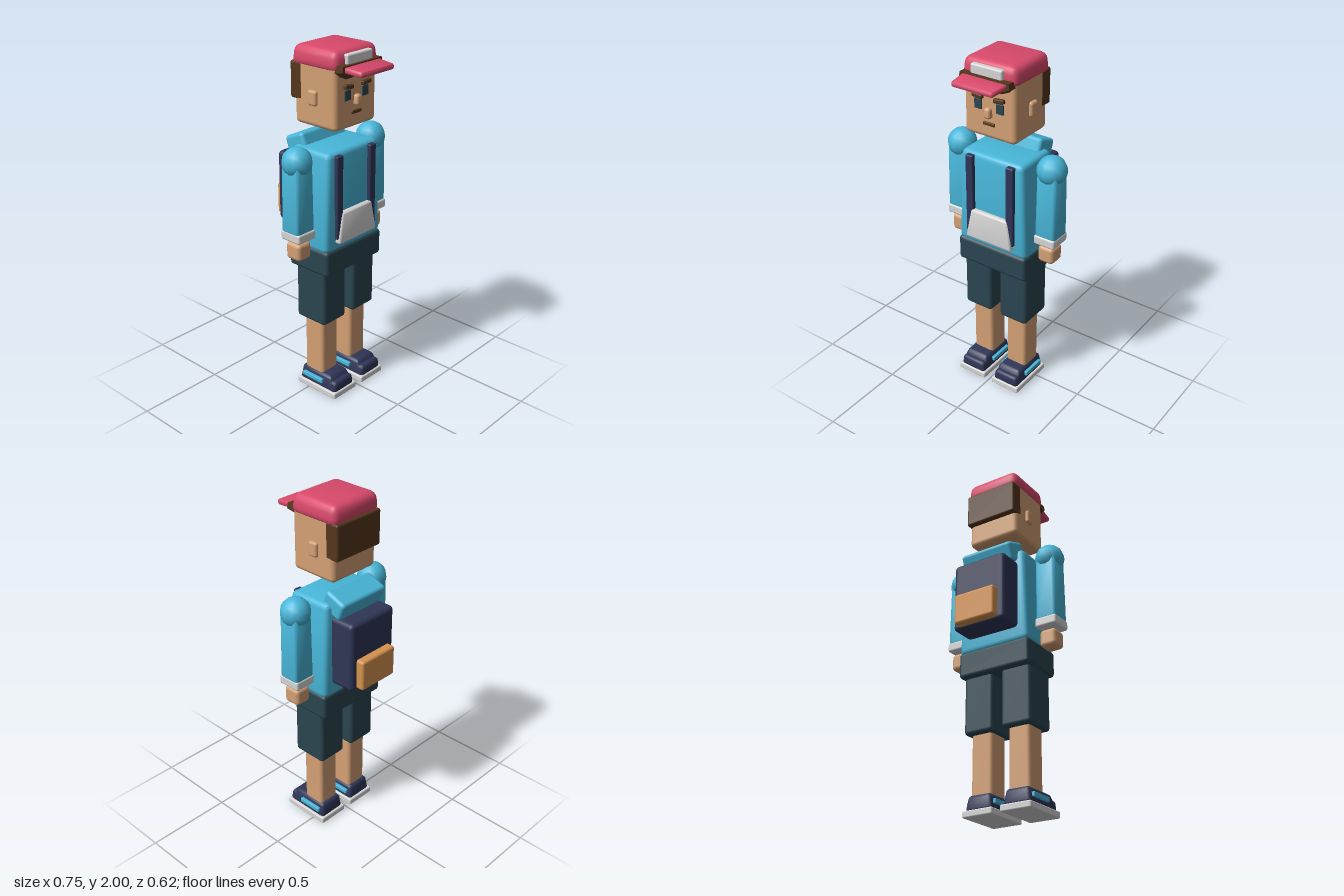
import * as THREE from 'three';
import { RoundedBoxGeometry } from 'three/addons/geometries/RoundedBoxGeometry.js';
import { mergeVertices, toCreasedNormals } from 'three/addons/utils/BufferGeometryUtils.js';

const mat = (name, color) => new THREE.MeshStandardMaterial({ name, color });

// Rounded box between two corners, with an optional rule that moves its vertices.
// The rule gets a vertex measured from the box centre.
function boxGeometry(w, h, d, radius, rule) {
  const r = Math.min(radius, w * 0.45, h * 0.45, d * 0.45);
  let geo = new RoundedBoxGeometry(w, h, d, 2, r);
  if (!rule) return geo;
  const p = geo.attributes.position;
  const v = new THREE.Vector3();
  for (let i = 0; i < p.count; i++) {
    v.fromBufferAttribute(p, i);
    rule(v);
    p.setXYZ(i, v.x, v.y, v.z);
  }
  geo.deleteAttribute('normal');
  geo.deleteAttribute('uv');
  geo = mergeVertices(geo, 1e-5);
  return toCreasedNormals(geo, 0.7);
}

// Narrows the top of a box of height h to the given fractions of its width and depth
const taper = (h, topX, topZ = topX) => (v) => {
  const t = v.y / h + 0.5;
  v.x *= 1 + (topX - 1) * t;
  v.z *= 1 + (topZ - 1) * t;
};

export function createModel() {
  const model = new THREE.Group();
  model.name = 'backpacker';

  const skin = mat('skin', 0xd3a074);
  const blue = mat('jacket blue', 0x48b7da);
  const navy = mat('navy', 0x2f3556);
  const teal = mat('dark teal', 0x2a4550);
  const white = mat('off white', 0xd6d6d6);
  const red = mat('cap red', 0xd9496b);
  const brown = mat('hair brown', 0x55371c);
  const orange = mat('pocket orange', 0xd6924f);

  function add(name, geo, material, x = 0, y = 0, z = 0, parent = model) {
    const mesh = new THREE.Mesh(geo, material);
    mesh.name = name;
    mesh.position.set(x, y, z);
    parent.add(mesh);
    return mesh;
  }

  // Box given by its ranges along x, y and z
  function box(name, material, [x0, x1], [y0, y1], [z0, z1], radius = 0.015, rule = null, parent = model) {
    const geo = boxGeometry(x1 - x0, y1 - y0, z1 - z0, radius, rule);
    return add(name, geo, material, (x0 + x1) / 2, (y0 + y1) / 2, (z0 + z1) / 2, parent);
  }

  // Head and face
  box('neck', skin, [-0.078, 0.078], [1.555, 1.62], [-0.06, 0.09], 0.01);
  box('head', skin, [-0.16, 0.16], [1.58, 1.93], [-0.125, 0.163], 0.025);
  box('nose', skin, [-0.021, 0.021], [1.7, 1.757], [0.15, 0.192], 0.012, taper(0.057, 0.8));
  box('mouth', brown, [-0.037, 0.037], [1.656, 1.674], [0.155, 0.172], 0.005);

  // Hair
  box('backHair', brown, [-0.161, 0.161], [1.71, 1.91], [-0.155, -0.07], 0.012);
  const fringe = new THREE.Shape();
  [[-0.15, 1.93], [-0.155, 1.89], [-0.125, 1.86], [-0.08, 1.84], [-0.04, 1.852], [0, 1.865],
    [0.04, 1.852], [0.08, 1.84], [0.125, 1.86], [0.155, 1.89], [0.15, 1.93]]
    .forEach(([x, y], i) => (i ? fringe.lineTo(x, y) : fringe.moveTo(x, y)));
  const fringeGeo = new THREE.ExtrudeGeometry(fringe, { depth: 0.06, bevelEnabled: false });
  const fp = fringeGeo.attributes.position;
  for (let i = 0; i < fp.count; i++) {
    if (fp.getZ(i) > 0.03 && fp.getY(i) < 1.9) fp.setY(i, Math.min(fp.getY(i) + 0.025, 1.9));
  }
  fringeGeo.computeVertexNormals();
  add('fringe', fringeGeo, brown, 0, 0, 0.145);

  // Cap with brim and front patch
  box('capCrown', red, [-0.171, 0.171], [1.888, 2], [-0.146, 0.175], 0.04, taper(0.112, 0.94));
  box('capBrim', red, [-0.142, 0.142], [1.895, 1.925], [0.14, 0.308], 0.01, (v) => {
    const t = v.z / 0.168 + 0.5;
    v.x *= 1 - 0.11 * t;
    v.y -= 0.014 * t - 0.004;
  });
  box('capPatch', white, [-0.097, 0.097], [1.923, 1.98], [0.155, 0.19], 0.01);

  // Torso, pouch and shorts waist
  box('torso', blue, [-0.225, 0.225], [0.905, 1.467], [-0.122, 0.158], 0.03, taper(0.562, 0.88, 0.96));
  box('frontPouch', white, [-0.152, 0.152], [0.955, 1.13], [0.14, 0.19], 0.012, (v) => {
    const t = v.y / 0.175 + 0.5;
    v.x *= 1 - 0.22 * t;
    if (v.z > 0) v.z -= 0.008 * t;
  });
  box('waist', teal, [-0.225, 0.225], [0.77, 0.92], [-0.12, 0.163], 0.02);

  // Backpack
  const hood = box('hood', blue, [-0.165, 0.165], [1.4, 1.512], [-0.19, -0.05], 0.02);
  hood.rotation.x = -0.38;
  box('backpack', navy, [-0.165, 0.165], [0.985, 1.39], [-0.262, -0.1], 0.025);
  box('backpackPocket', orange, [-0.127, 0.127], [1.0, 1.177], [-0.308, -0.24], 0.015);

  // Paired parts, one pass for each side
  for (const [side, s] of [['left', 1], ['right', -1]]) {
    const half = new THREE.Group();
    half.name = side + 'Side';
    model.add(half);
    const pair = (name, material, [x0, x1], y, z, radius, rule) =>
      box(side + name, material, s > 0 ? [x0, x1] : [-x1, -x0], y, z, radius, rule, half);

    pair('Ear', skin, [0.14, 0.178], [1.697, 1.78], [-0.02, 0.04], 0.014);
    pair('Eye', teal, [0.045, 0.091], [1.735, 1.79], [0.16, 0.169], 0.003);
    const brow = pair('Eyebrow', brown, [0.035, 0.1], [1.797, 1.82], [0.15, 0.182], 0.006);
    brow.rotation.z = s * 0.1;
    pair('Strap', navy, [0.107, 0.155], [0.98, 1.452], [0.135, 0.176], 0.008);

    // Arm
    add(side + 'Shoulder', new THREE.SphereGeometry(0.083, 12, 10), blue, s * 0.293, 1.425, 0.017, half);
    pair('Sleeve', blue, [0.229, 0.357], [1.03, 1.43], [-0.047, 0.081], 0.018, taper(0.4, 0.93));
    pair('Cuff', white, [0.228, 0.358], [0.99, 1.045], [-0.05, 0.087], 0.012);
    pair('Hand', skin, [0.244, 0.342], [0.876, 0.976], [-0.032, 0.07], 0.022);

    // Leg
    pair('ShortsLeg', teal, [0.03, 0.21], [0.45, 0.8], [-0.083, 0.128], 0.02);
    pair('Shin', skin, [0.052, 0.183], [0.1, 0.48], [-0.048, 0.089], 0.02);

    // Shoe
    pair('Sole', white, [0.025, 0.211], [0, 0.038], [-0.085, 0.206], 0.008);
    pair('Shoe', navy, [0.034, 0.202], [0.03, 0.12], [-0.075, 0.2], 0.018, (v) => {
      const t = v.y / 0.09 + 0.5;
      v.x *= 1 - 0.18 * t;
      if (v.z > 0) v.z *= 1 - 0.36 * t;
      else v.z *= 1 - 0.08 * t;
    });
    pair('Toe', navy, [0.036, 0.2], [0.03, 0.095], [0.08, 0.2], 0.018, taper(0.065, 0.9));
    pair('ShoeStripe', blue, [0.026, 0.21], [0.064, 0.09], [-0.045, 0.104], 0.004);
  }

  return model;
}
